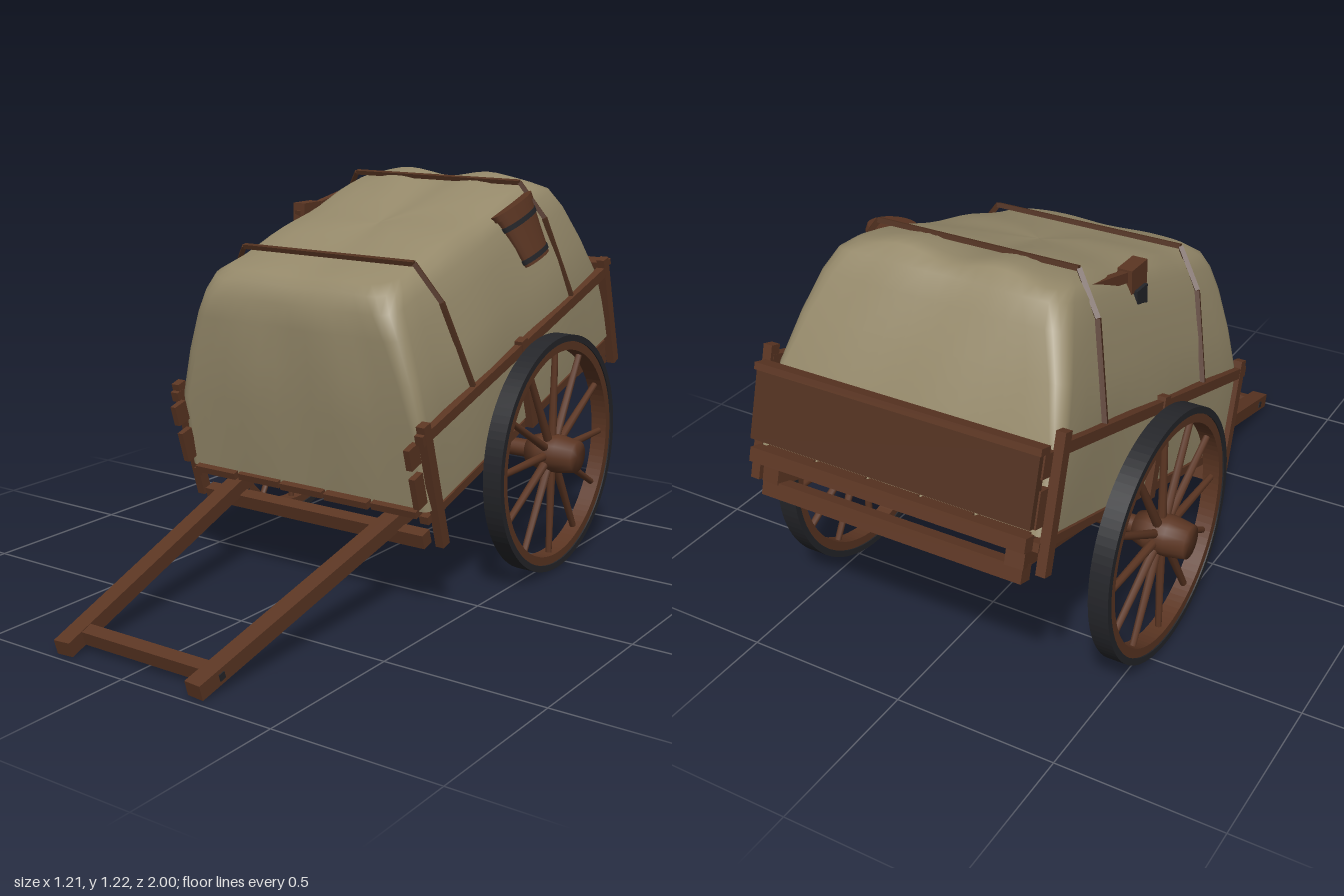
import * as THREE from 'three';

const paint = (name, color) => Object.assign(new THREE.MeshStandardMaterial({ color }), { name });

export function createModel() {
  const wood = paint('wood', 0x5c3623);
  const darkWood = paint('darkWood', 0x50301f);
  const iron = paint('iron', 0x25262a);
  const cloth = paint('canvas', 0x95896a);
  cloth.side = THREE.DoubleSide;

  const model = new THREE.Group();
  model.name = 'cart';
  const AXLE = new THREE.Vector3(0, 0.388, -0.415);

  // Everything but the wheels is tilted, shafts resting on the ground
  const body = new THREE.Group();
  body.name = 'tiltedBody';
  body.position.copy(AXLE);
  body.rotation.x = 0.292;
  model.add(body);

  const add = (name, geo, mat, parent = body) => {
    const m = new THREE.Mesh(geo, mat);
    m.name = name;
    parent.add(m);
    return m;
  };
  const box = (name, mat, w, h, d, x, y, z, parent = body) => {
    const m = add(name, new THREE.BoxGeometry(w, h, d), mat, parent);
    m.position.set(x, y, z);
    return m;
  };
  const beam = (name, mat, w, h, a, b, parent = body) => {
    const p = new THREE.Vector3(...a), q = new THREE.Vector3(...b);
    const m = add(name, new THREE.BoxGeometry(w, h, p.distanceTo(q)), mat, parent);
    m.position.copy(p).add(q).multiplyScalar(0.5);
    m.quaternion.setFromUnitVectors(new THREE.Vector3(0, 0, 1), q.sub(p).normalize());
    return m;
  };

  // Floor planks
  for (let i = -2; i <= 2; i++) {
    box('floorPlank', wood, 0.157, 0.022, 1.235 + 0.01 * (i % 2), i * 0.167, 0.122, 0);
  }
  // Cross beams and handle bar
  box('frontCrossBeam', wood, 0.82, 0.045, 0.04, 0, 0.018, 0.58);
  box('rearCrossBeam', wood, 0.82, 0.045, 0.045, 0, 0.018, -0.59);
  box('rearSill', wood, 0.86, 0.04, 0.04, 0, 0.115, -0.635);
  box('handleBar', wood, 0.47, 0.042, 0.04, 0, 0.058, 1.362);
  box('axleBlock', wood, 0.8, 0.05, 0.06, 0, 0.085, 0);

  // Shafts, side rails, posts and corner cleats
  for (const s of [-1, 1]) {
    beam('shaft', wood, 0.054, 0.046, [s * 0.235, 0.058, 1.44], [s * 0.385, 0.058, -0.615]);
    box('shaftPin', iron, 0.062, 0.02, 0.02, s * 0.24, 0.058, 1.362);
    box('sideRail', wood, 0.028, 0.032, 1.18, s * 0.451, 0.362, 0.005);
    box('lowerSideRail', wood, 0.03, 0.025, 1.2, s * 0.425, 0.098, 0);
    box('frontPost', wood, 0.028, 0.4, 0.034, s * 0.452, 0.2, 0.565);
    box('middlePost', wood, 0.028, 0.3, 0.034, s * 0.456, 0.24, 0);
    box('rearPost', wood, 0.028, 0.38, 0.034, s * 0.452, 0.215, -0.578);
    for (const e of [-1, 1]) {
      box('upperCleat', wood, 0.02, 0.065, 0.05, s * 0.43, 0.318, e * 0.61);
      box('lowerCleat', wood, 0.02, 0.1, 0.045, s * 0.43, 0.205, e * 0.61);
    }
  }
  // Tailboard
  box('tailboard', darkWood, 0.87, 0.205, 0.03, 0, 0.26, -0.638);
  box('tailboardCap', wood, 0.88, 0.02, 0.045, 0, 0.36, -0.636);

  // Canvas load: rounded rectangles stacked upwards, then closing over the top
  const levels = [ // height, half width, half length, corner radius
    [0.125, 0.448, 0.598, 0.025], [0.36, 0.447, 0.572, 0.035], [0.5, 0.418, 0.545, 0.045],
    [0.62, 0.383, 0.518, 0.055], [0.685, 0.355, 0.497, 0.065], [0.725, 0.332, 0.465, 0.075],
    [0.743, 0.3, 0.43, 0.08], [0.745, 0.22, 0.32, 0.07], [0.745, 0.11, 0.16, 0.04], [0.745, 0.001, 0.001, 0],
  ];
  const ring = (hx, hz, r) => {
    const pts = [];
    const corners = [[1, 1], [-1, 1], [-1, -1], [1, -1]];
    corners.forEach(([sx, sz], k) => {
      for (let i = 0; i <= 4; i++) {
        const t = (k + i / 4) * Math.PI / 2;
        pts.push([sx * (hx - r) + r * Math.cos(t), sz * (hz - r) + r * Math.sin(t)]);
      }
      const [nx, nz] = corners[(k + 1) % 4];
      const t = (k + 1) * Math.PI / 2;
      const a = pts[pts.length - 1];
      const b = [nx * (hx - r) + r * Math.cos(t), nz * (hz - r) + r * Math.sin(t)];
      for (let i = 1; i < 12; i++) {
        pts.push([a[0] + (b[0] - a[0]) * i / 12, a[1] + (b[1] - a[1]) * i / 12]);
      }
    });
    return pts;
  };
  const pos = [], idx = [];
  const N = 64;
  levels.forEach(([y, hx, hz, r], l) => {
    for (const [x, z] of ring(hx, hz, r)) {
      const sag = y > 0.7 ? -0.011 * Math.cos(x * 21) * (0.6 - 0.8 * z) + 0.004 * Math.sin(z * 17) : 0;
      const puff = y > 0.3 && y < 0.7 ? 1 + 0.008 * Math.sin(x * 19 + z * 13 + y * 9) : 1;
      pos.push(x * puff, y + sag, z * puff);
    }
    if (!l) return;
    for (let j = 0; j < N; j++) {
      const a = (l - 1) * N + j, b = (l - 1) * N + (j + 1) % N;
      idx.push(a, a + N, b, b, a + N, b + N);
    }
  });
  const tarp = new THREE.BufferGeometry();
  tarp.setAttribute('position', new THREE.Float32BufferAttribute(pos, 3));
  tarp.setIndex(idx);
  tarp.computeVertexNormals();
  add('canvasCover', tarp, cloth);

  // Thin hoops over the canvas
  for (const z of [0.287, -0.347]) {
    const path = [[-0.452, 0.37], [-0.386, 0.64], [-0.312, 0.755], [0.312, 0.755], [0.386, 0.64], [0.452, 0.37]];
    for (let i = 0; i < path.length - 1; i++) {
      beam('hoop', darkWood, 0.014, 0.014, [...path[i], z], [...path[i + 1], z]);
    }
  }

  // Bucket hung on the left side, flattened against the canvas
  const bucket = new THREE.Group();
  bucket.name = 'bucket';
  bucket.position.set(0.372, 0.635, -0.237);
  bucket.rotation.z = 0.36;
  bucket.scale.x = 0.4;
  body.add(bucket);
  const radius = y => 0.085 + y * 0.18;
  const hoopAt = (name, mat, y, h, out) => {
    const geo = new THREE.CylinderGeometry(radius(y + h / 2) + out, radius(y - h / 2) + out, h, 20);
    add(name, geo, mat, bucket).position.y = y;
  };
  hoopAt('bucketStaves', wood, 0, 0.185, 0);
  hoopAt('bucketRim', wood, 0.088, 0.02, 0.008);
  hoopAt('bucketBand', iron, 0.045, 0.016, 0.004);
  hoopAt('bucketBand', iron, -0.075, 0.016, 0.004);

  // Hatchet hung on the right side
  beam('hatchetHandle', wood, 0.022, 0.03, [-0.325, 1.15, -0.53], [-0.345, 1.09, -0.24], model);
  box('hatchetSocket', wood, 0.045, 0.07, 0.09, -0.34, 1.095, -0.285, model);
  box('hatchetBlade', iron, 0.025, 0.07, 0.06, -0.36, 1.03, -0.285, model);

  // Wheels
  const hoopGeo = (outer, inner, width) => {
    const shape = new THREE.Shape().absarc(0, 0, outer, 0, Math.PI * 2);
    shape.holes.push(new THREE.Path().absarc(0, 0, inner, 0, Math.PI * 2, true));
    const geo = new THREE.ExtrudeGeometry(shape, { depth: width, bevelEnabled: false, curveSegments: 48 });
    return geo.translate(0, 0, -width / 2).rotateY(Math.PI / 2);
  };
  for (const s of [-1, 1]) {
    const wheel = new THREE.Group();
    wheel.name = s > 0 ? 'leftWheel' : 'rightWheel';
    wheel.position.set(s * 0.515, AXLE.y, AXLE.z);
    model.add(wheel);
    add('tyre', hoopGeo(0.375, 0.355, 0.06), iron, wheel);
    add('rim', hoopGeo(0.357, 0.328, 0.052), wood, wheel);
    for (let i = 0; i < 12; i++) {
      const t = i * Math.PI / 6;
      const spoke = add('spoke', new THREE.CylinderGeometry(0.01, 0.014, 0.3, 8), wood, wheel);
      spoke.position.set(0, Math.cos(t) * 0.19, Math.sin(t) * 0.19);
      spoke.rotation.x = t;
    }
    const profile = [[0, -0.075], [0.045, -0.075], [0.06, -0.03], [0.06, 0.03], [0.05, 0.09], [0, 0.09]];
    const hub = new THREE.LatheGeometry(profile.map(p => new THREE.Vector2(...p)), 20);
    add('hub', hub, wood, wheel).rotation.z = -s * Math.PI / 2;
  }
  const axle = add('axle', new THREE.CylinderGeometry(0.028, 0.028, 0.95, 16), wood, model);
  axle.rotation.z = Math.PI / 2;
  axle.position.copy(AXLE);

  return model;
}
